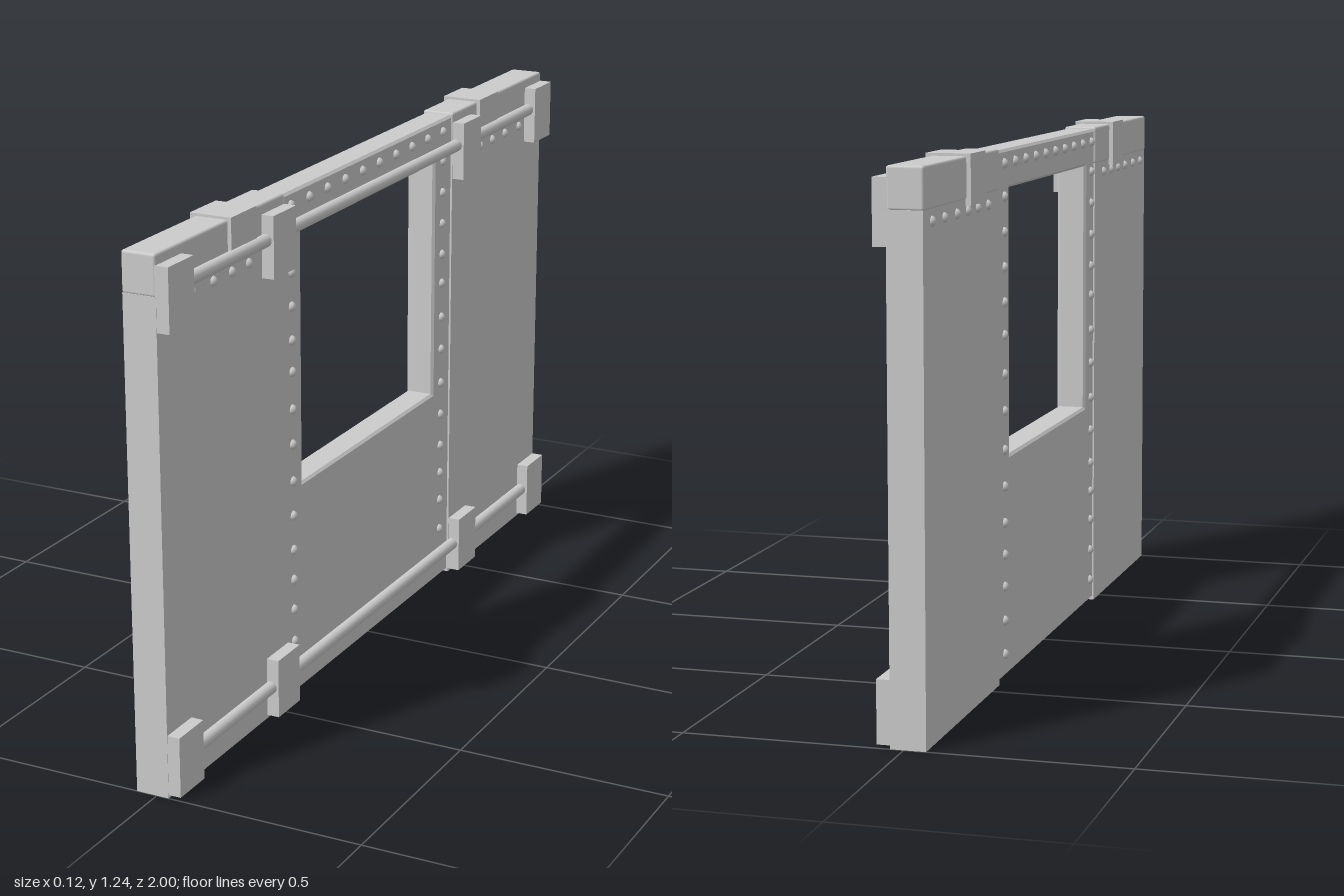
import * as THREE from 'three';
import { RoundedBoxGeometry } from 'three/addons/geometries/RoundedBoxGeometry.js';

const grey = new THREE.MeshStandardMaterial({ color: 0xcccccc });

export function createModel() {
  const root = new THREE.Group();
  const add = (name, geometry, x = 0, y = 0, z = 0) => {
    const mesh = new THREE.Mesh(geometry, grey);
    mesh.name = name;
    mesh.position.set(x, y, z);
    root.add(mesh);
    return mesh;
  };
  // Box given by its limits on each axis
  const block = (name, [x0, x1], [y0, y1], [z0, z1], r = 0) => add(
    name,
    r ? new RoundedBoxGeometry(x1 - x0, y1 - y0, z1 - z0, 2, r)
      : new THREE.BoxGeometry(x1 - x0, y1 - y0, z1 - z0),
    (x0 + x1) / 2, (y0 + y1) / 2, (z0 + z1) / 2);
  const rect = (S, a, b, c, d) => new S([[a, b], [c, b], [c, d], [a, d]].map(p => new THREE.Vector2(...p)));

  // Middle panel with the window, drawn in (z, y) and extruded through the wall
  const panel = rect(THREE.Shape, -0.445, 0.005, 0.445, 1.226);
  panel.holes.push(rect(THREE.Path, -0.345, 0.522, 0.36, 1.137));
  const bevel = 0.006;
  const panelGeo = new THREE.ExtrudeGeometry(panel, {
    depth: 0.074 - 2 * bevel, bevelThickness: bevel, bevelSize: bevel,
    bevelOffset: -bevel, bevelSegments: 1,
  });
  panelGeo.rotateY(-Math.PI / 2);
  add('windowPanel', panelGeo, 0.027 - bevel);

  // U-shaped strap that hooks over the top rail, longer on the back
  const strapShape = new THREE.Shape([
    [-0.062, 1.125], [-0.05, 1.125], [-0.05, 1.225], [0.027, 1.225],
    [0.027, 1.16], [0.039, 1.16], [0.039, 1.237], [-0.062, 1.237],
  ].map(p => new THREE.Vector2(...p)));
  const strapGeo = new THREE.ExtrudeGeometry(strapShape, { depth: 0.112, bevelEnabled: false });
  strapGeo.translate(0, 0, -0.056);

  // Side panels, capping rails, straps
  for (const s of [1, -1]) {
    const span = (a, b) => s > 0 ? [a, b] : [-b, -a];
    block('sidePanel', [-0.05, 0.03], [0, 1.14], span(0.443, 1));
    block('topRail', [-0.052, 0.03], [1.138, 1.231], span(0.443, 1), 0.006);
    add('strap', strapGeo, 0, 0, s * 0.643);
  }

  // Two horizontal rods held by four brackets each
  const rodGeo = new THREE.CylinderGeometry(0.015, 0.015, 1.98, 16);
  rodGeo.rotateX(Math.PI / 2);
  for (const [rodY, y0, y1] of [[0.08, 0.008, 0.15], [1.15, 1.063, 1.207]]) {
    add('rod', rodGeo, 0.04, rodY, 0);
    for (const z of [-0.947, -0.497, 0.497, 0.947]) {
      block('bracket', [0.026, 0.06], [y0, y1], [z - 0.052, z + 0.052]);
    }
  }

  // Rivets on both faces
  const rivetGeo = new THREE.SphereGeometry(0.012, 12, 8);
  const rivetPair = (y, z, front, back) => {
    add('rivet', rivetGeo, front, y, z);
    add('rivet', rivetGeo, back, y, z);
  };
  const heights = [0.06, 0.14, 0.22, 0.295, 0.37, 0.455, 0.54, 0.63, 0.715, 0.805, 0.88, 0.96, 1.04, 1.12];
  for (const z of [0.41, -0.39]) {
    for (const y of heights) rivetPair(y, z, 0.026, -0.046);
  }
  for (let i = 0; i < 10; i++) rivetPair(1.195, 0.41 - i * 0.0889, 0.026, -0.046);
  for (const z of [0.94, 0.855, 0.765, 0.685, 0.61, 0.53]) {
    for (const s of [1, -1]) rivetPair(1.113, s * z, 0.028, -0.048);
  }
  return root;
}
